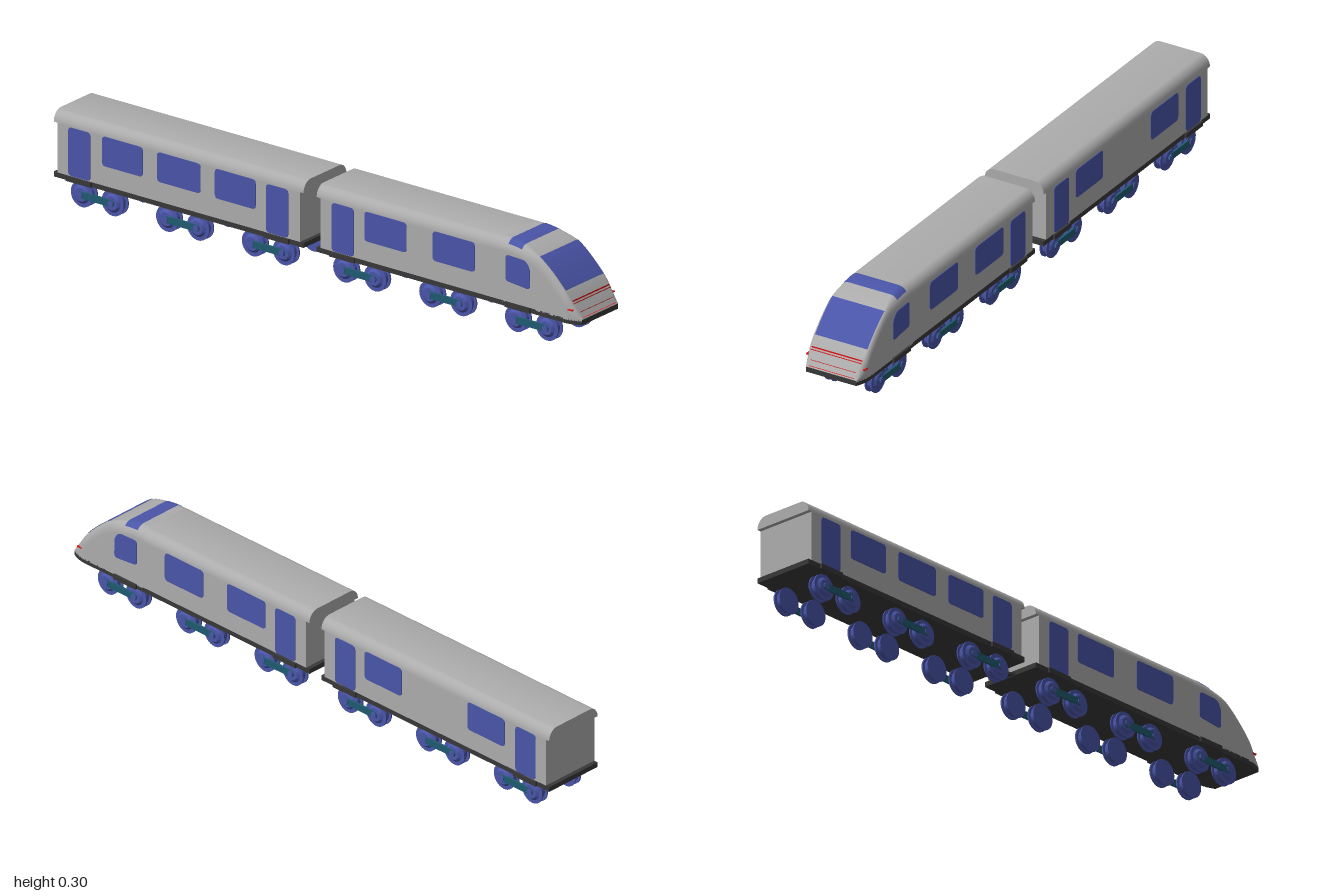
import * as THREE from 'three';
import { toCreasedNormals } from 'three/addons/utils/BufferGeometryUtils.js';

const mat = (name, color, side = THREE.FrontSide) => {
  const m = new THREE.MeshStandardMaterial({ color, side });
  m.name = name;
  return m;
};

const W = 0.104, FLOOR = 0.083, SILL = 0.099, EAVE = 0.259, TOP = 0.296;

// Nose rules: roof height, half width and corner size along x
const noseLine = new THREE.SplineCurve([
  [0.7, 0.296], [0.74, 0.295], [0.78, 0.288], [0.84, 0.267], [0.89, 0.231],
  [0.94, 0.182], [0.97, 0.143], [1.0, 0.1],
].map(p => new THREE.Vector2(...p))).getPoints(80);

function topAt(x) {
  const i = Math.max(1, noseLine.findIndex(p => p.x >= x - 1e-6));
  const a = noseLine[i - 1], b = noseLine[i];
  return THREE.MathUtils.lerp(a.y, b.y, (x - a.x) / (b.x - a.x));
}
function noseAt(x) {
  const top = topAt(x);
  const w = W - 0.016 * Math.max(0, (x - 0.94) / 0.06) ** 2;
  const c = THREE.MathUtils.lerp(0.034, 0.014, THREE.MathUtils.smoothstep(x, 0.74, 0.86));
  const d = Math.min(TOP - EAVE, Math.max(0, top - SILL) * 0.8);
  return { top, w, c, d };
}

// Rounded roof arc running from +z to -z as [z, y] pairs
function roofArc({ top, w, c, d }, n = 8) {
  const half = [];
  for (let i = 0; i <= n; i++) {
    const a = (i / n) * Math.PI / 2;
    half.push([w - c + c * Math.cos(a), top - d + d * Math.sin(a)]);
  }
  return [...half, ...half.slice().reverse().map(([z, y]) => [-z, y])];
}

function noseGeometry() {
  const pos = [], index = [], n = 48;
  let cols = 0;
  for (let i = 0; i <= n; i++) {
    const x = 0.7 + 0.3 * (i / n), s = noseAt(Math.min(x, 0.9999));
    const ring = [[s.w, SILL - 0.004], ...roofArc(s), [-s.w, SILL - 0.004]];
    cols = ring.length;
    ring.forEach(([z, y]) => pos.push(x, y, z));
  }
  for (let i = 0; i < n; i++) for (let j = 0; j < cols - 1; j++) {
    const a = i * cols + j, b = a + cols;
    index.push(a, b, b + 1, a, b + 1, a + 1);
  }
  const g = new THREE.BufferGeometry();
  g.setAttribute('position', new THREE.Float32BufferAttribute(pos, 3));
  g.setIndex(index);
  g.computeVertexNormals();
  return g;
}

// Thin sheet that lies on the nose surface
function nosePatch(x0, x1, halfWidth, lift) {
  const g = new THREE.PlaneGeometry(x1 - x0, halfWidth * 2, 14, 32);
  g.rotateX(-Math.PI / 2).translate((x0 + x1) / 2, 0, 0);
  const p = g.attributes.position;
  for (let i = 0; i < p.count; i++) {
    const x = p.getX(i), s = noseAt(x);
    const k = Math.min(1, Math.max(0, (Math.abs(p.getZ(i)) - (s.w - s.c)) / s.c));
    p.setXYZ(i, x, s.top - s.d + s.d * Math.sqrt(1 - k * k) + lift, p.getZ(i));
  }
  g.computeVertexNormals();
  return g;
}

// Extrude a [z, y] section along x
function alongX(section, x0, x1) {
  const shape = new THREE.Shape(section.map(([z, y]) => new THREE.Vector2(-z, y)));
  const g = new THREE.ExtrudeGeometry(shape, { depth: x1 - x0, bevelEnabled: false });
  g.rotateY(Math.PI / 2).translate(x0, 0, 0);
  return toCreasedNormals(g, 0.5);
}

function roundedPane(x0, x1, y0, y1, r = 0.013) {
  const s = new THREE.Shape();
  s.moveTo(x0 + r, y0).lineTo(x1 - r, y0).quadraticCurveTo(x1, y0, x1, y0 + r);
  s.lineTo(x1, y1 - r).quadraticCurveTo(x1, y1, x1 - r, y1).lineTo(x0 + r, y1);
  s.quadraticCurveTo(x0, y1, x0, y1 - r).lineTo(x0, y0 + r).quadraticCurveTo(x0, y0, x0 + r, y0);
  return s;
}

export function createModel() {
  const grey = mat('body grey', 0xacacac);
  const blue = mat('glass and wheel blue', 0x4a55a8, THREE.DoubleSide);
  const dark = mat('floor black', 0x383838);
  const teal = mat('rod teal', 0x1f5a70);
  const red = mat('stripe red', 0xe81414);
  const root = new THREE.Group();
  root.name = 'train';

  const add = (parent, name, geometry, material, x = 0, y = 0, z = 0) => {
    const m = new THREE.Mesh(geometry, material);
    m.name = name;
    m.position.set(x, y, z);
    parent.add(m);
    return m;
  };
  const box = (parent, name, material, x0, x1, y0, y1, z0, z1) =>
    add(parent, name, new THREE.BoxGeometry(x1 - x0, y1 - y0, z1 - z0), material,
      (x0 + x1) / 2, (y0 + y1) / 2, (z0 + z1) / 2);
  const pane = (parent, name, shape, side) =>
    add(parent, name, new THREE.ExtrudeGeometry(shape, { depth: 0.004, bevelEnabled: false, curveSegments: 5 }),
      blue, 0, 0, side * W - 0.002);

  // Wheel: two thin flanges, a smaller tread, a tapered hub and a pin
  const wheelGeo = toCreasedNormals(new THREE.LatheGeometry([
    [0, 0.059], [0.042, 0.059], [0.042, 0.063], [0.033, 0.063], [0.033, 0.079], [0.042, 0.079],
    [0.042, 0.084], [0.03, 0.084], [0.022, 0.091], [0.01, 0.091], [0.01, 0.097], [0, 0.097],
  ].map(p => new THREE.Vector2(...p)), 32).rotateX(Math.PI / 2), 0.5);
  const rodShape = new THREE.Shape();
  rodShape.absarc(0.059, 0, 0.011, -Math.PI / 2, Math.PI / 2);
  rodShape.absarc(-0.059, 0, 0.011, Math.PI / 2, Math.PI * 1.5);
  const rodGeo = new THREE.ExtrudeGeometry(rodShape, { depth: 0.007, bevelEnabled: false, curveSegments: 8 });

  function bogie(parent, x) {
    for (const side of [1, -1]) {
      const g = new THREE.Group();
      g.name = 'wheelPair';
      g.position.set(x, 0.042, 0);
      g.rotation.y = side > 0 ? 0 : Math.PI;
      for (const dx of [-0.059, 0.059]) add(g, 'wheel', wheelGeo, blue, dx);
      add(g, 'connectingRod', rodGeo, teal, 0, 0, 0.087);
      parent.add(g);
    }
  }

  // Straight shell with overhanging roof, doors, windows, steps and wheels
  function car({ name, roof, wall, doors, windows, steps, bogies }) {
    const g = new THREE.Group();
    g.name = name;
    root.add(g);
    add(g, 'roof', alongX(roofArc({ top: TOP, w: W, c: 0.034, d: TOP - EAVE }), ...roof), grey);
    box(g, 'walls', grey, ...wall, SILL, EAVE, -W, W);
    for (const s of [1, -1]) {
      for (const x of doors) pane(g, 'door', roundedPane(x - 0.042, x + 0.042, 0.101, 0.256), s);
      for (const [x0, x1, frontOnly] of windows)
        if (s > 0 || !frontOnly) pane(g, 'window', roundedPane(x0, x1, 0.163, 0.258), s);
    }
    for (const x of steps) box(g, 'step', dark, x - 0.047, x + 0.047, FLOOR, SILL, -0.111, 0.111);
    bogies.forEach(x => bogie(g, x));
    return g;
  }

  const rear = car({
    name: 'rearCar', roof: [-1, -0.048], wall: [-0.986, -0.062],
    doors: [-0.902, -0.148], steps: [-0.902, -0.148],
    windows: [[-0.815, -0.66], [-0.605, -0.44, true], [-0.385, -0.23]],
    bogies: [-0.85, -0.525, -0.198],
  });
  box(rear, 'floor', dark, -1, -0.048, FLOOR, SILL, -W, W);

  const front = car({
    name: 'frontCar', roof: [0.002, 0.7], wall: [0.016, 0.7],
    doors: [0.102], steps: [0.102, 0.77],
    windows: [[0.185, 0.345], [0.445, 0.605]],
    bogies: [0.15, 0.478, 0.805],
  });
  add(front, 'nose', noseGeometry(), grey);

  // Floor follows the narrowing nose
  const outline = [[0.002, W]];
  for (let i = 0; i <= 6; i++) {
    const x = 0.94 + i * 0.01;
    outline.push([x, noseAt(Math.min(x, 0.9999)).w]);
  }
  const floorShape = new THREE.Shape([...outline, ...outline.slice().reverse().map(([x, z]) => [x, -z])]
    .map(p => new THREE.Vector2(...p)));
  const floorGeo = new THREE.ExtrudeGeometry(floorShape, { depth: SILL - FLOOR, bevelEnabled: false });
  add(front, 'floor', floorGeo.rotateX(-Math.PI / 2), dark, 0, FLOOR, 0);

  // Cab glass
  const cab = new THREE.Shape();
  cab.moveTo(0.733, 0.165).lineTo(0.804, 0.158).quadraticCurveTo(0.816, 0.158, 0.816, 0.17);
  cab.lineTo(0.815, 0.218).quadraticCurveTo(0.808, 0.243, 0.79, 0.247).lineTo(0.735, 0.249);
  cab.quadraticCurveTo(0.723, 0.249, 0.723, 0.238).lineTo(0.723, 0.177).quadraticCurveTo(0.723, 0.165, 0.733, 0.165);
  for (const s of [1, -1]) pane(front, 'cabWindow', cab, s);
  add(front, 'windscreen', nosePatch(0.843, 0.942, 0.092, 0.002), blue);
  add(front, 'roofWindow', nosePatch(0.727, 0.779, 0.097, 0.001), blue);

  // Upright red trim lines on the nose, a lip at its tip and a mark on each flank
  for (const [x, y, h, w] of [[0.9655, 0.152, 0.005, 0.18], [0.97, 0.145, 0.003, 0.18], [0.9875, 0.12, 0.002, 0.16]])
    add(front, 'noseStripe', new THREE.PlaneGeometry(w, h).rotateY(Math.PI / 2), red, x, y, 0);
  add(front, 'tipStripe', new THREE.PlaneGeometry(0.004, 0.16).rotateX(-Math.PI / 2), red, 0.998, 0.105, 0);
  for (const s of [1, -1]) box(front, 'flankMark', red, 0.957, 0.975, 0.126, 0.13, s * 0.1 - 0.003, s * 0.1 + 0.003);

  // Bow-tie coupling between the cars
  const tie = new THREE.Shape([[-0.052, -0.022], [-0.024, -0.004], [0.004, -0.022],
    [0.004, 0.022], [-0.024, 0.004], [-0.052, 0.022]].map(p => new THREE.Vector2(...p)));
  const tieGeo = new THREE.ExtrudeGeometry(tie, { depth: 0.007, bevelEnabled: false });
  add(root, 'coupling', tieGeo.rotateX(-Math.PI / 2), dark, 0, 0.085, 0);

  return root;
}
